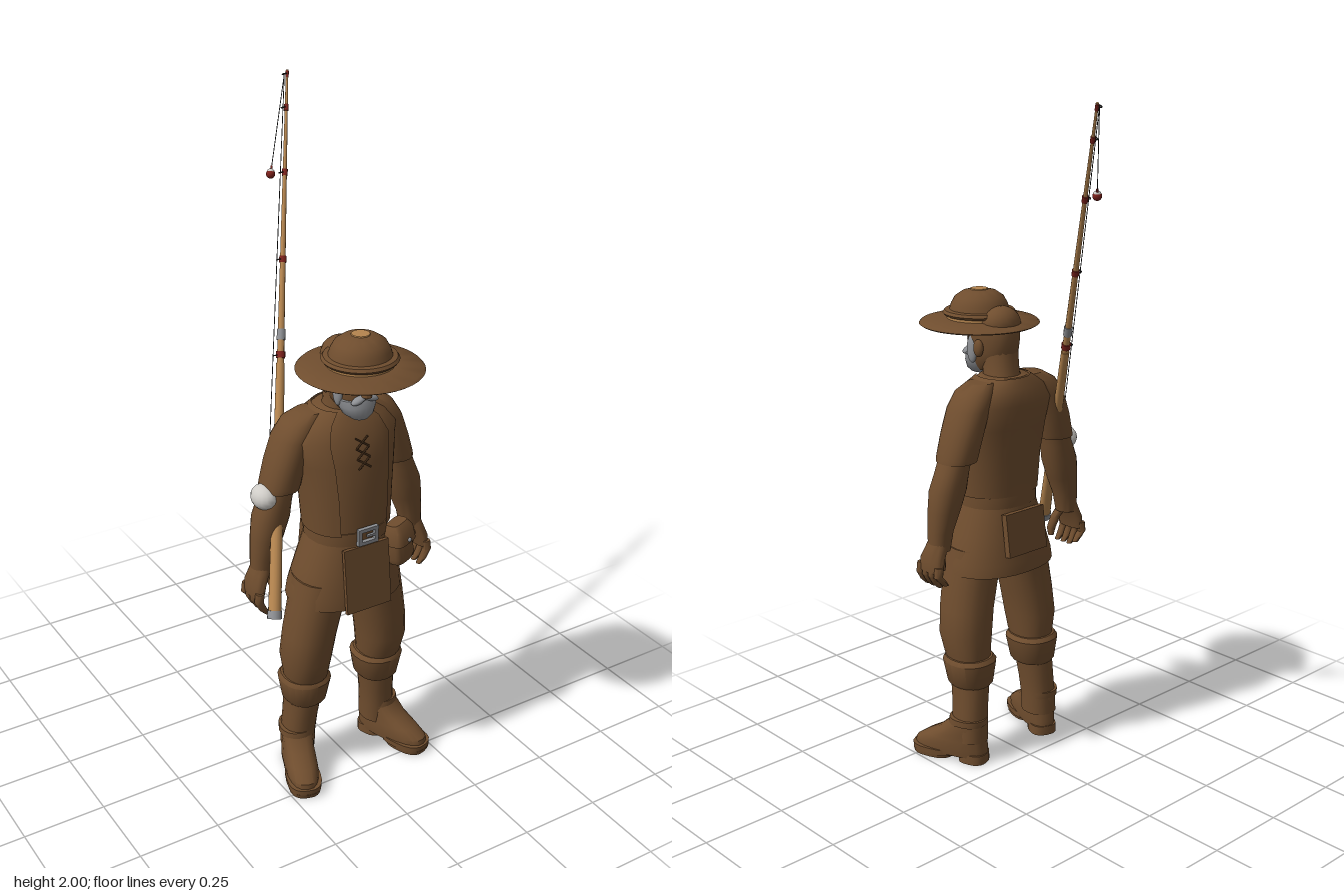
import * as THREE from 'three';
import { toCreasedNormals } from 'three/addons/utils/BufferGeometryUtils.js';

const material = (name, color, side = THREE.FrontSide) => {
  const m = new THREE.MeshStandardMaterial({ color, side });
  m.name = name;
  return m;
};

// Rings [x, y, z, rx, rz] stacked upwards; an arc below a full turn leaves an open shell
function loft(rings, { n = 20, start = 0, arc = Math.PI * 2, grow = 0, pow = 0.9 } = {}) {
  const pos = [], index = [], closed = arc > 6.28;
  const bend = v => Math.sign(v) * Math.abs(v) ** pow;
  for (const [x, y, z, rx, rz] of rings)
    for (let j = 0; j <= n; j++) {
      const a = start + arc * j / n;
      pos.push(x + (rx + grow) * bend(Math.cos(a)), y, z + (rz + grow) * bend(Math.sin(a)));
    }
  const w = n + 1, last = (rings.length - 1) * w;
  for (let i = 0; i < rings.length - 1; i++)
    for (let j = 0; j < n; j++) {
      const p = i * w + j;
      index.push(p, p + w, p + 1, p + 1, p + w, p + w + 1);
    }
  if (closed) for (let j = 1; j < n - 1; j++)
    index.push(0, j, j + 1, last, last + j + 1, last + j);
  const g = new THREE.BufferGeometry();
  g.setAttribute('position', new THREE.Float32BufferAttribute(pos, 3));
  g.setIndex(index);
  return toCreasedNormals(g, 0.75);
}

export function createModel() {
  const root = new THREE.Group();
  root.name = 'fisherman';
  const brown = material('brown cloth and skin', 0x6f4d2e);
  const vestBrown = material('brown vest', 0x6f4d2e, THREE.DoubleSide);
  const dark = material('dark brown lace', 0x432c18);
  const tan = material('tan wood', 0xb5854f);
  const grey = material('grey hair and metal', 0x8e9094);
  const red = material('red', 0x7d221c);
  const white = material('white', 0xd0cdc8);
  const line = material('dark line', 0x2b2b2b);

  const add = (name, geometry, mat, parent = root) => {
    const m = new THREE.Mesh(geometry, mat);
    m.name = name;
    parent.add(m);
    return m;
  };
  const ball = (name, mat, p, s, parent) => {
    const m = add(name, new THREE.SphereGeometry(1, 16, 12), mat, parent);
    m.position.set(...p);
    m.scale.set(...s);
    return m;
  };
  const rodBetween = (name, mat, a, b, r0, r1, sides = 10) => {
    const d = b.clone().sub(a);
    const m = add(name, new THREE.CylinderGeometry(r1, r0, d.length(), sides), mat);
    m.position.copy(a).addScaledVector(d, 0.5);
    m.quaternion.setFromUnitVectors(new THREE.Vector3(0, 1, 0), d.normalize());
    return m;
  };
  const V = (x, y, z) => new THREE.Vector3(x, y, z);

  // Torso, open vest, belt and tunic skirt
  const torso = [[0, 0.84, 0.15, 0.122, 0.105], [0, 0.95, 0.145, 0.13, 0.106], [0, 1.05, 0.134, 0.143, 0.108],
    [0, 1.12, 0.122, 0.156, 0.104], [0, 1.165, 0.114, 0.125, 0.086], [0, 1.195, 0.112, 0.07, 0.066]];
  add('shirt', loft(torso, { n: 28 }), brown);
  add('vest', loft(torso, { n: 32, start: Math.PI / 2 + 0.58, arc: Math.PI * 2 - 1.16, grow: 0.008 }), vestBrown);
  add('belt', loft([[0, 0.805, 0.148, 0.123, 0.111], [0, 0.845, 0.148, 0.123, 0.111]]), brown);
  add('skirt', loft([[0, 0.605, 0.14, 0.178, 0.134], [0, 0.64, 0.141, 0.173, 0.132], [0, 0.72, 0.145, 0.149, 0.121],
    [0, 0.82, 0.148, 0.116, 0.106]], { n: 28 }), brown);
  const backFlap = add('backFlap', new THREE.BoxGeometry(0.15, 0.13, 0.02), brown);
  backFlap.position.set(0, 0.73, 0.022);
  backFlap.rotation.x = 0.13;
  const frontFlap = add('frontFlap', new THREE.BoxGeometry(0.15, 0.2, 0.012), brown);
  frontFlap.position.set(0, 0.7, 0.266);
  frontFlap.rotation.x = -0.11;

  // Buckle
  const frame = new THREE.Shape([[-0.033, -0.026], [0.033, -0.026], [0.033, 0.026], [-0.033, 0.026]].map(p => new THREE.Vector2(...p)));
  frame.holes.push(new THREE.Path([[-0.022, -0.015], [-0.022, 0.015], [0.022, 0.015], [0.022, -0.015]].map(p => new THREE.Vector2(...p))));
  add('buckle', new THREE.ExtrudeGeometry(frame, { depth: 0.012, bevelEnabled: false }), grey).position.set(0, 0.835, 0.26);
  add('bucklePin', new THREE.BoxGeometry(0.03, 0.007, 0.008), grey).position.set(0.012, 0.835, 0.268);

  // Belt pouch with flap and button
  const pouch = new THREE.Group();
  pouch.name = 'pouch';
  pouch.position.set(0.128, 0.765, 0.232);
  pouch.rotation.set(-0.08, 0.4, 0.06);
  root.add(pouch);
  add('pouchBody', loft([[0, -0.062, 0, 0.04, 0.03], [0, -0.045, 0, 0.046, 0.036], [0, 0.03, 0, 0.04, 0.03],
    [0, 0.05, 0, 0.036, 0.024]], { pow: 0.55 }), brown, pouch);
  add('pouchFlap', loft([[0, 0.0, 0.004, 0.048, 0.038], [0, 0.04, 0.002, 0.046, 0.034], [0, 0.06, 0, 0.034, 0.02]], { pow: 0.5 }), brown, pouch);
  ball('pouchButton', grey, [0, 0.01, 0.042], [0.007, 0.007, 0.005], pouch);

  // Crossed shirt laces
  for (let i = 0; i < 3; i++) for (const s of [-1, 1]) {
    const y = 1.04 + i * 0.03, z = 0.247 - i * 0.006;
    rodBetween('lace', dark, V(-s * 0.02, y, z), V(s * 0.02, y + 0.028, z - 0.008), 0.0028, 0.0028, 6);
  }

  for (const s of [1, -1]) {
    const side = s > 0 ? 'left' : 'right';
    const limb = (name, rings, mat = brown, opt) => add(side + name, loft(rings.map(([x, ...r]) => [s * x, ...r]), opt), mat);

    // Arm
    limb('Sleeve', [[0.193, 0.972, 0.102, 0.056, 0.06], [0.19, 0.985, 0.102, 0.057, 0.062], [0.172, 1.05, 0.1, 0.056, 0.066],
      [0.148, 1.12, 0.1, 0.055, 0.066], [0.122, 1.165, 0.102, 0.052, 0.058], [0.095, 1.188, 0.104, 0.04, 0.04]]);
    limb('Forearm', [[0.258, 0.715, 0.108, 0.031, 0.033], [0.252, 0.77, 0.108, 0.037, 0.036], [0.238, 0.83, 0.107, 0.048, 0.044],
      [0.224, 0.89, 0.106, 0.055, 0.05], [0.21, 0.94, 0.104, 0.049, 0.048], [0.188, 1.01, 0.102, 0.045, 0.048]]);
    limb('Palm', [[0.285, 0.655, 0.112, 0.018, 0.046], [0.281, 0.69, 0.112, 0.023, 0.046], [0.266, 0.725, 0.11, 0.027, 0.036],
      [0.258, 0.745, 0.108, 0.028, 0.031]]);
    for (let i = 0; i < 4; i++) {
      const z = 0.074 + i * 0.026, drop = i === 0 ? 0.012 : 0;
      limb('Finger', [[0.265, 0.603 + drop, z, 0.009, 0.009], [0.278, 0.618 + drop, z, 0.012, 0.012],
        [0.292, 0.645, z, 0.013, 0.013], [0.288, 0.675, z, 0.013, 0.013]], brown, { n: 10 });
    }
    limb('Thumb', [[0.222, 0.632, 0.138, 0.008, 0.009], [0.225, 0.655, 0.14, 0.013, 0.014], [0.238, 0.69, 0.135, 0.015, 0.016],
      [0.256, 0.725, 0.122, 0.015, 0.016]], brown, { n: 10 });

    // Trouser leg, boot cuff and shaft
    limb('Leg', [[0.13, 0.31, 0.128, 0.058, 0.062], [0.13, 0.35, 0.137, 0.064, 0.073], [0.132, 0.41, 0.142, 0.073, 0.082],
      [0.122, 0.49, 0.147, 0.076, 0.083], [0.104, 0.58, 0.15, 0.079, 0.085], [0.088, 0.68, 0.15, 0.077, 0.088]]);
    limb('BootCuff', [[0.129, 0.247, 0.126, 0.058, 0.064], [0.129, 0.255, 0.126, 0.064, 0.07], [0.129, 0.325, 0.129, 0.077, 0.081],
      [0.13, 0.338, 0.13, 0.068, 0.072]]);
    limb('BootShaft', [[0.144, 0.07, 0.112, 0.049, 0.056], [0.143, 0.13, 0.114, 0.05, 0.055], [0.138, 0.19, 0.118, 0.05, 0.057],
      [0.131, 0.27, 0.124, 0.055, 0.06]]);

    // Boot foot turned outwards, with sole and heel
    const foot = new THREE.Group();
    foot.name = side + 'Foot';
    foot.position.set(s * 0.13, 0, 0.06);
    foot.rotation.y = s * 0.35;
    root.add(foot);
    add('sole', loft([[0, 0.012, 0.168, 0.052, 0.076], [0, 0.03, 0.168, 0.053, 0.077]], { pow: 0.75 }), brown, foot);
    add('heel', loft([[0, 0, 0.04, 0.041, 0.045], [0, 0.03, 0.04, 0.041, 0.045]], { pow: 0.75 }), brown, foot);
    add('toeTread', loft([[0, 0, 0.175, 0.048, 0.066], [0, 0.014, 0.175, 0.05, 0.07]], { pow: 0.75 }), brown, foot);
    add('upper', loft([[0, 0.02, 0.118, 0.047, 0.122], [0, 0.045, 0.116, 0.05, 0.12], [0, 0.07, 0.1, 0.048, 0.1],
      [0, 0.095, 0.078, 0.046, 0.077], [0, 0.13, 0.058, 0.048, 0.057], [0, 0.145, 0.056, 0.044, 0.052]], { pow: 0.8 }), brown, foot);
    add('ankleStrap', loft([[0, 0.125, 0.058, 0.053, 0.06], [0, 0.145, 0.056, 0.053, 0.059]]), brown, foot);

    // Ear, eyebrow, moustache half and sideburn
    ball(side + 'Ear', brown, [s * 0.067, 1.275, 0.145], [0.012, 0.026, 0.018]);
    ball(side + 'Brow', grey, [s * 0.026, 1.303, 0.233], [0.02, 0.006, 0.009]).rotation.z = s * 0.15;
    ball(side + 'Moustache', grey, [s * 0.02, 1.25, 0.24], [0.024, 0.01, 0.014]).rotation.z = -s * 0.35;
    ball(side + 'Sideburn', grey, [s * 0.054, 1.265, 0.187], [0.011, 0.042, 0.02]);
    ball(side + 'Eye', white, [s * 0.025, 1.287, 0.232], [0.009, 0.005, 0.006]);
  }
  ball('armBandage', white, [-0.243, 0.955, 0.106], [0.037, 0.037, 0.045]);

  // Neck, head and beard
  add('neck', loft([[0, 1.16, 0.11, 0.062, 0.062], [0, 1.2, 0.12, 0.05, 0.054], [0, 1.27, 0.13, 0.05, 0.058]]), brown);
  add('head', loft([[0, 1.2, 0.185, 0.035, 0.05], [0, 1.225, 0.17, 0.05, 0.072], [0, 1.26, 0.155, 0.058, 0.084],
    [0, 1.3, 0.153, 0.063, 0.086], [0, 1.34, 0.15, 0.063, 0.083], [0, 1.37, 0.15, 0.05, 0.07]]), brown);
  ball('backOfHead', brown, [0, 1.343, 0.118], [0.06, 0.051, 0.052]);
  add('beard', loft([[0, 1.187, 0.21, 0.026, 0.03], [0, 1.2, 0.205, 0.043, 0.042], [0, 1.225, 0.2, 0.054, 0.048],
    [0, 1.245, 0.195, 0.057, 0.046]]), grey);
  add('nose', loft([[0, 1.26, 0.246, 0.014, 0.019], [0, 1.275, 0.244, 0.013, 0.019], [0, 1.305, 0.232, 0.007, 0.01]], { n: 12 }), brown);

  // Wide hat with rolled crown, band and top patch
  const lathe = pts => toCreasedNormals(new THREE.LatheGeometry(pts.map(p => new THREE.Vector2(...p)), 40), 0.7);
  const hat = new THREE.Group();
  hat.name = 'hat';
  hat.position.z = 0.215;
  root.add(hat);
  add('brim', lathe([[0, 1.335], [0.1, 1.335], [0.172, 1.329], [0.178, 1.333], [0.172, 1.339], [0.1, 1.348], [0, 1.348]]), brown, hat);
  add('band', new THREE.CylinderGeometry(0.096, 0.096, 0.014, 40), tan, hat).position.y = 1.352;
  add('crown', lathe([[0.09, 1.357], [0.103, 1.357], [0.108, 1.364], [0.102, 1.372], [0.088, 1.374], [0.083, 1.39],
    [0.072, 1.41], [0.05, 1.425], [0.025, 1.431], [0, 1.431]]), brown, hat);
  add('topPatch', new THREE.CylinderGeometry(0.026, 0.028, 0.005, 12), tan, hat).position.y = 1.431;

  // Fishing rod across the back
  const butt = V(-0.295, 0.65, 0.245), tip = V(0.137, 2, -0.39);
  const at = t => butt.clone().lerp(tip, t);
  rodBetween('rodHandle', tan, butt, at(0.46), 0.019, 0.012, 14);
  rodBetween('rodShaft', tan, at(0.46), tip, 0.0105, 0.0035);
  rodBetween('rodButtCap', grey, at(-0.003), at(0.012), 0.021, 0.021, 14);
  rodBetween('rodFerrule', grey, at(0.502), at(0.522), 0.0125, 0.0125);
  for (const [t, r] of [[0.475, 0.0135], [0.65, 0.0105], [0.81, 0.0085], [0.93, 0.0065], [0.992, 0.005]]) {
    rodBetween('rodBinding', red, at(t - 0.006), at(t + 0.006), r, r);
    const guide = add('lineGuide', new THREE.TorusGeometry(0.006, 0.0017, 6, 12), line);
    guide.position.copy(at(t)).add(V(-r - 0.004, 0.002, 0));
    guide.rotation.x = Math.PI / 2 - 0.44;
  }

  // Line and float
  const end = at(0.992).add(V(-0.009, 0.002, 0)), bob = V(0.007, 1.747, -0.267);
  rodBetween('reelLine', line, V(-0.195, 1.07, 0.055), end, 0.0012, 0.0012, 5);
  rodBetween('floatLine', line, bob, end, 0.0012, 0.0012, 5);
  ball('floatBody', red, bob.toArray(), [0.013, 0.013, 0.013]);
  ball('floatTop', white, [0.008, 1.753, -0.268], [0.0105, 0.009, 0.0105]);
  rodBetween('floatStem', red, bob, bob.clone().lerp(end, 0.08), 0.004, 0.003, 8);
  return root;
}
